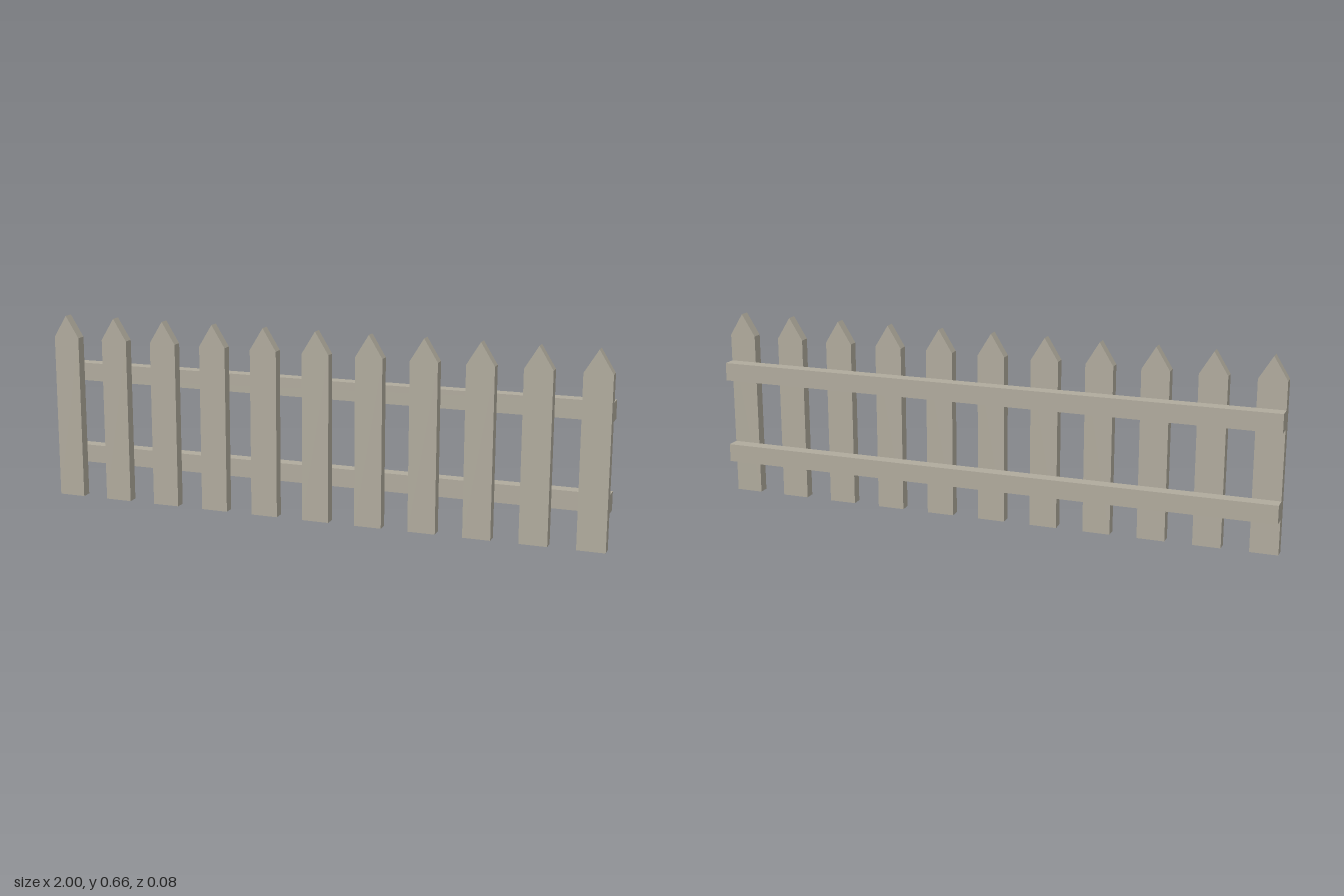
import * as THREE from 'three';

export function createModel() {
  const fence = new THREE.Group();
  fence.name = 'picketFence';
  const wood = new THREE.MeshStandardMaterial({ color: 0xb0ab9d });
  wood.name = 'weatheredWood';

  const count = 11, half = 0.048, shoulder = 0.585, tip = 0.663;
  const backZ = -0.042, joinZ = 0.005, frontZ = 0.042;

  // Pointed pickets, evenly spaced along the front
  const outline = new THREE.Shape([
    new THREE.Vector2(-half, 0),
    new THREE.Vector2(half, 0),
    new THREE.Vector2(half, shoulder),
    new THREE.Vector2(0, tip),
    new THREE.Vector2(-half, shoulder),
  ]);
  const picketGeometry = new THREE.ExtrudeGeometry(outline, {
    depth: frontZ - joinZ, bevelEnabled: false,
  });
  const first = -1 + half;
  const spacing = (-2 * first) / (count - 1);
  for (let i = 0; i < count; i++) {
    const picket = new THREE.Mesh(picketGeometry, wood);
    picket.name = `picket${i + 1}`;
    picket.position.set(first + i * spacing, 0, joinZ);
    fence.add(picket);
  }

  // Two horizontal rails behind the pickets
  const railGeometry = new THREE.BoxGeometry(2, 0.064, joinZ - backZ);
  for (const [name, y] of [['lowerRail', 0.154], ['upperRail', 0.458]]) {
    const rail = new THREE.Mesh(railGeometry, wood);
    rail.name = name;
    rail.position.set(0, y, (joinZ + backZ) / 2);
    fence.add(rail);
  }
  return fence;
}
